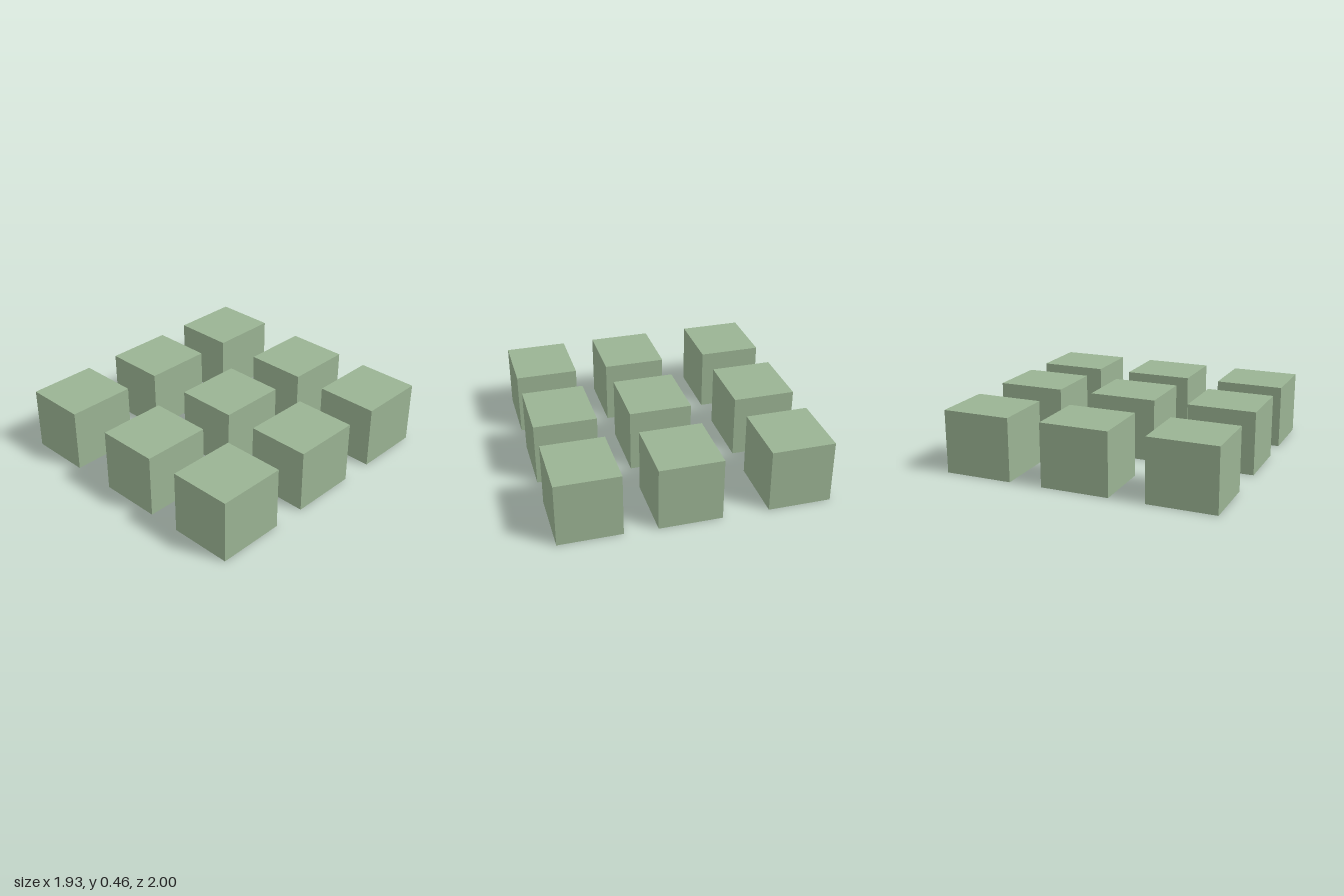
import * as THREE from 'three';

// Nine separate blocks in a three by three layout
export function createModel() {
  const model = new THREE.Group();
  model.name = 'blockGrid';

  const sageGreen = new THREE.MeshStandardMaterial({ color: 0x9ab393 });
  sageGreen.name = 'sageGreen';

  const width = 0.453, height = 0.46, depth = 0.498;
  const block = new THREE.BoxGeometry(width, height, depth);

  // Each column has its x centre and the z centres of its back, middle and front blocks
  const columns = [
    { name: 'right', x: -0.74, z: [-0.751, -0.01, 0.75] },
    { name: 'centre', x: 0.046, z: [-0.751, 0, 0.751] },
    { name: 'left', x: 0.736, z: [-0.742, 0.006, 0.75] },
  ];
  const rows = ['Back', 'Middle', 'Front'];

  for (const column of columns) {
    column.z.forEach((z, i) => {
      const mesh = new THREE.Mesh(block, sageGreen);
      mesh.name = `${column.name}${rows[i]}Block`;
      mesh.position.set(column.x, height / 2, z);
      model.add(mesh);
    });
  }
  return model;
}
